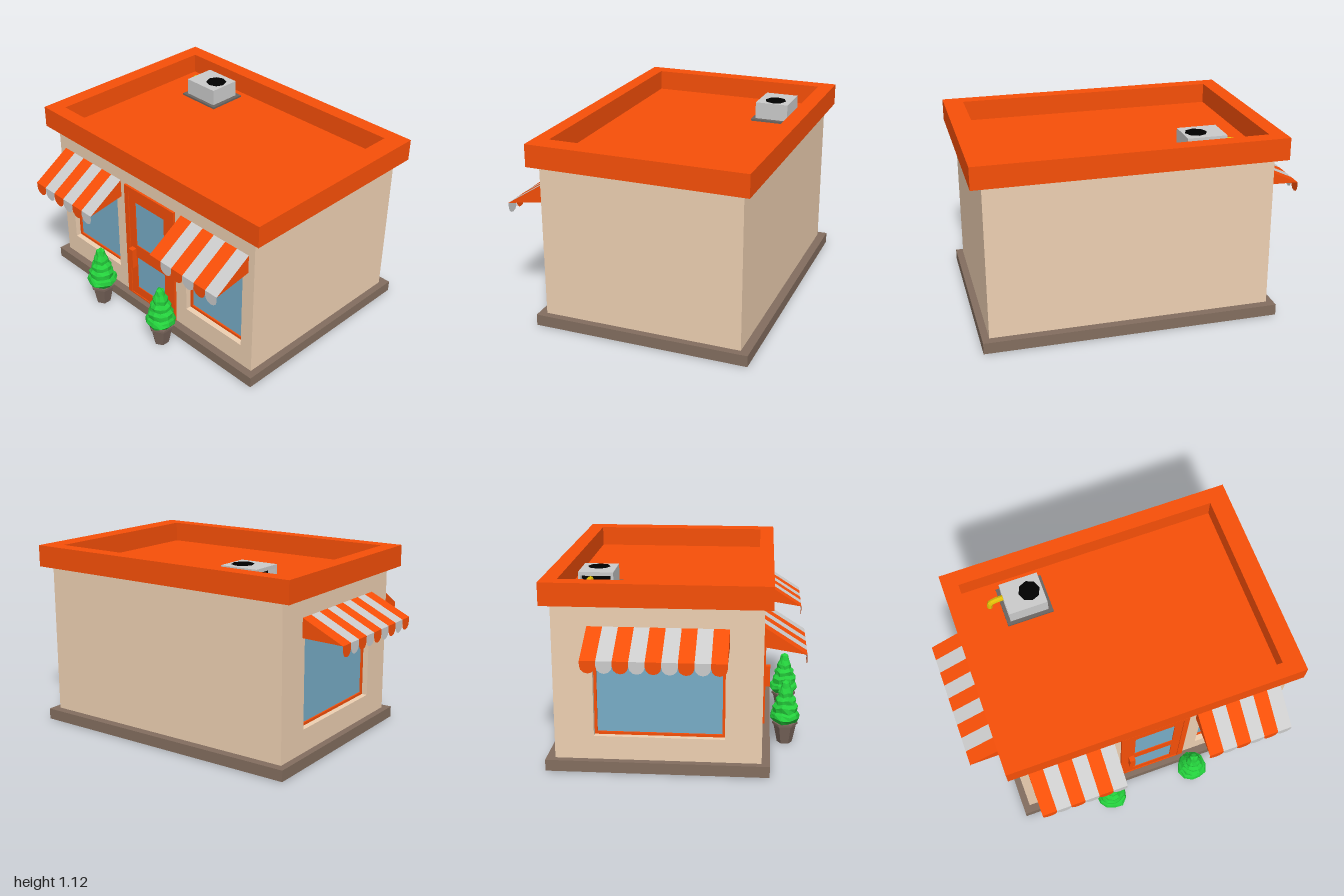
import * as THREE from 'three';

const mat = (color) => new THREE.MeshStandardMaterial({ color, flatShading: true, side: THREE.DoubleSide });
const M = {
  wall: mat(0xeed0b2), base: mat(0x836e5f), roof: mat(0xf74f08), grey: mat(0xcccccc), glass: mat(0x78adc7),
  plate: mat(0x6a6562), black: mat(0x000000), pipe: mat(0xe0be08), pot: mat(0x78645a), leaf: mat(0x24d03c),
};

function add(parent, name, geometry, material, x = 0, y = 0, z = 0) {
  const mesh = new THREE.Mesh(geometry, material);
  mesh.name = name;
  mesh.position.set(x, y, z);
  parent.add(mesh);
  return mesh;
}

// Box given by its limits on each axis
function box(parent, name, material, x0, x1, y0, y1, z0, z1) {
  return add(parent, name, new THREE.BoxGeometry(x1 - x0, y1 - y0, z1 - z0), material,
    (x0 + x1) / 2, (y0 + y1) / 2, (z0 + z1) / 2);
}

const rect = (Type, [x0, x1, y0, y1]) => new Type([[x0, y0], [x1, y0], [x1, y1], [x0, y1]]
  .map(([x, y]) => new THREE.Vector2(x, y)));

// Rectangular slab with rectangular holes, extruded along z
function slab(outer, holes, depth) {
  const shape = rect(THREE.Shape, outer);
  holes.forEach((h) => shape.holes.push(rect(THREE.Path, h)));
  return new THREE.ExtrudeGeometry(shape, { depth, bevelEnabled: false });
}

const inset = ([x0, x1, y0, y1], d) => [x0 + d, x1 - d, y0 + d, y1 - d];

// Recessed window: frame and glass at the back of the opening
function addWindow(wall, r) {
  const g = new THREE.Group();
  g.name = 'window';
  add(g, 'windowFrame', slab(r, [inset(r, 0.016)], 0.016), M.roof, 0, 0, -0.05);
  box(g, 'windowGlass', M.glass, ...inset(r, 0.012), -0.052, -0.044);
  wall.add(g);
}

// Striped awning with triangular cheeks and a scalloped valance
function addAwning(wall, x0, x1, stripes, tipY, reach) {
  const g = new THREE.Group();
  g.name = 'awning';
  const w = (x1 - x0) / stripes, top = 0.862, low = 0.748, drop = 0.07;
  const run = Math.hypot(reach, top - tipY);
  const scallop = new THREE.Shape();
  scallop.moveTo(-w / 2, 0);
  scallop.lineTo(-w / 2, -drop * 0.4);
  for (let i = 1; i <= 6; i++) {
    const a = Math.PI * (1 + i / 6);
    scallop.lineTo(Math.cos(a) * w / 2, -drop * 0.4 + Math.sin(a) * drop * 0.6);
  }
  scallop.lineTo(w / 2, 0);
  for (let i = 0; i < stripes; i++) {
    const m = i % 2 ? M.grey : M.roof, x = x0 + w * (i + 0.5);
    const cloth = add(g, 'awningStripe', new THREE.PlaneGeometry(w, run), m, x, (top + tipY) / 2, reach / 2);
    cloth.rotation.x = -Math.atan2(reach, top - tipY);
    add(g, 'awningScallop', new THREE.ShapeGeometry(scallop), m, x, tipY, reach);
  }
  const cheek = new THREE.Shape([[0, low], [reach, tipY], [0, top]].map((p) => new THREE.Vector2(...p)));
  for (const x of [x0, x1]) {
    add(g, 'awningCheek', new THREE.ShapeGeometry(cheek), M.roof, x).rotation.y = -Math.PI / 2;
  }
  wall.add(g);
}

// Panel door with two panes and a handle
function addDoor(wall, cx) {
  const g = new THREE.Group();
  g.name = 'door';
  const outer = [cx - 0.215, cx + 0.215, 0.07, 0.86];
  const leaf = [cx - 0.18, cx + 0.18, 0.07, 0.825];
  const panes = [[cx - 0.125, cx + 0.125, 0.46, 0.77], [cx - 0.125, cx + 0.125, 0.14, 0.37]];
  add(g, 'doorFrame', slab(outer, [[leaf[0], leaf[1], 0.08, leaf[3]]], 0.014), M.roof);
  add(g, 'doorLeaf', slab(leaf, panes, 0.009), M.roof);
  panes.forEach((p) => box(g, 'doorGlass', M.glass, ...p, 0, 0.004));
  box(g, 'doorHandle', M.roof, cx - 0.165, cx - 0.13, 0.3, 0.432, 0.008, 0.042);
  wall.add(g);
}

// Potted shrub: six-sided pot and lumpy tiered foliage
function addPlant(parent, x, z, turn) {
  const g = new THREE.Group();
  g.name = 'plant';
  g.position.set(x, 0, z);
  add(g, 'pot', new THREE.CylinderGeometry(0.07, 0.046, 0.117, 6), M.pot, 0, 0.0585).rotation.y = Math.PI / 6;
  add(g, 'potRim', new THREE.CylinderGeometry(0.078, 0.078, 0.014, 6), M.pot, 0, 0.124).rotation.y = Math.PI / 6;
  const profile = [[0, 0.13], [0.066, 0.132], [0.094, 0.165], [0.086, 0.19], [0.074, 0.202], [0.078, 0.235],
    [0.062, 0.255], [0.064, 0.28], [0.045, 0.3], [0.046, 0.325], [0.03, 0.355], [0.024, 0.385], [0, 0.4]];
  const geo = new THREE.LatheGeometry(profile.map((p) => new THREE.Vector2(...p)), 11);
  const p = geo.attributes.position;
  for (let i = 0; i < p.count; i++) {
    const px = p.getX(i), py = p.getY(i), pz = p.getZ(i), a = Math.atan2(pz, px);
    const s = 0.99 + 0.05 * Math.sin(3 * a + py * 40) + 0.03 * Math.sin(5 * a - py * 70);
    p.setXYZ(i, px * s, py + (Math.hypot(px, pz) > 0.001 ? 0.006 * Math.sin(4 * a + py * 30) : 0), pz * s);
  }
  geo.computeVertexNormals();
  add(g, 'foliage', geo, M.leaf).rotation.y = turn;
  parent.add(g);
}

// Rooftop vent unit with open back, fan and pipe
function addVent(parent) {
  const g = new THREE.Group();
  g.name = 'roofVent';
  const y0 = 1.01, y1 = 1.112;
  box(g, 'ventPlate', M.plate, 0.345, 0.595, 0.995, y0, -0.52, -0.235);
  box(g, 'ventBody', M.grey, 0.367, 0.57, y0, y1, -0.44, -0.26);
  add(g, 'ventHood', slab([0.367, 0.57, y0, y1], [[0.382, 0.555, y0 + 0.012, y1 - 0.022]], 0.058), M.grey, 0, 0, -0.498);
  box(g, 'ventOpening', M.black, 0.38, 0.557, y0 + 0.01, y1 - 0.02, -0.45, -0.441);
  add(g, 'fan', new THREE.CylinderGeometry(0.065, 0.065, 0.01, 8), M.black, 0.472, 1.109, -0.34);
  const path = new THREE.CatmullRomCurve3([[1.06, -0.45], [1.06, -0.54], [1.045, -0.575], [1.0, -0.585]]
    .map(([y, z]) => new THREE.Vector3(0.506, y, z)));
  add(g, 'ventPipe', new THREE.TubeGeometry(path, 12, 0.018, 8), M.pipe);
  parent.add(g);
}

export function createModel() {
  const model = new THREE.Group();
  model.name = 'shop';

  // Base, solid core and flat roof with parapet
  box(model, 'base', M.base, -0.547, 0.74, 0.003, 0.07, -0.787, 0.977);
  box(model, 'core', M.wall, -0.45, 0.688, 0.07, 0.992, -0.695, 0.935);
  box(model, 'roofDeck', M.roof, -0.5, 0.7, 0.991, 0.998, -0.76, 0.95);
  const parapet = add(model, 'parapet',
    slab([-0.548, 0.738, -1, 0.815], [[-0.46, 0.645, -0.88, 0.72]], 0.132), M.roof, 0, 0.99, 0);
  parapet.rotation.x = -Math.PI / 2;
  addVent(model);

  // Entrance wall on the right side: local x runs along world z
  const side = new THREE.Group();
  side.name = 'entranceWall';
  side.position.x = -0.5;
  side.rotation.y = -Math.PI / 2;
  const sideWindows = [-0.43, 0.625].map((c) => [c - 0.225, c + 0.225, 0.21, 0.77]);
  add(side, 'wallPanel', slab([-0.745, 0.935, 0.07, 0.992], sideWindows, 0.05), M.wall, 0, 0, -0.05);
  sideWindows.forEach((r) => addWindow(side, r));
  addAwning(side, -0.693, -0.163, 6, 0.71, 0.239);
  addAwning(side, 0.361, 0.891, 6, 0.71, 0.239);
  addDoor(side, 0.0975);
  model.add(side);

  // Back wall with one wide window: local x runs against world x
  const back = new THREE.Group();
  back.name = 'backWall';
  back.position.z = -0.745;
  back.rotation.y = Math.PI;
  const backWindow = [-0.46, 0.29, 0.21, 0.77];
  add(back, 'wallPanel', slab([-0.688, 0.45, 0.07, 0.992], [backWindow], 0.05), M.wall, 0, 0, -0.05);
  addWindow(back, backWindow);
  addAwning(back, -0.485, 0.31, 9, 0.742, 0.253);
  model.add(back);

  // Shrubs beside the door
  addPlant(model, -0.638, -0.225, 0);
  addPlant(model, -0.638, 0.325, 0.4);
  return model;
}
